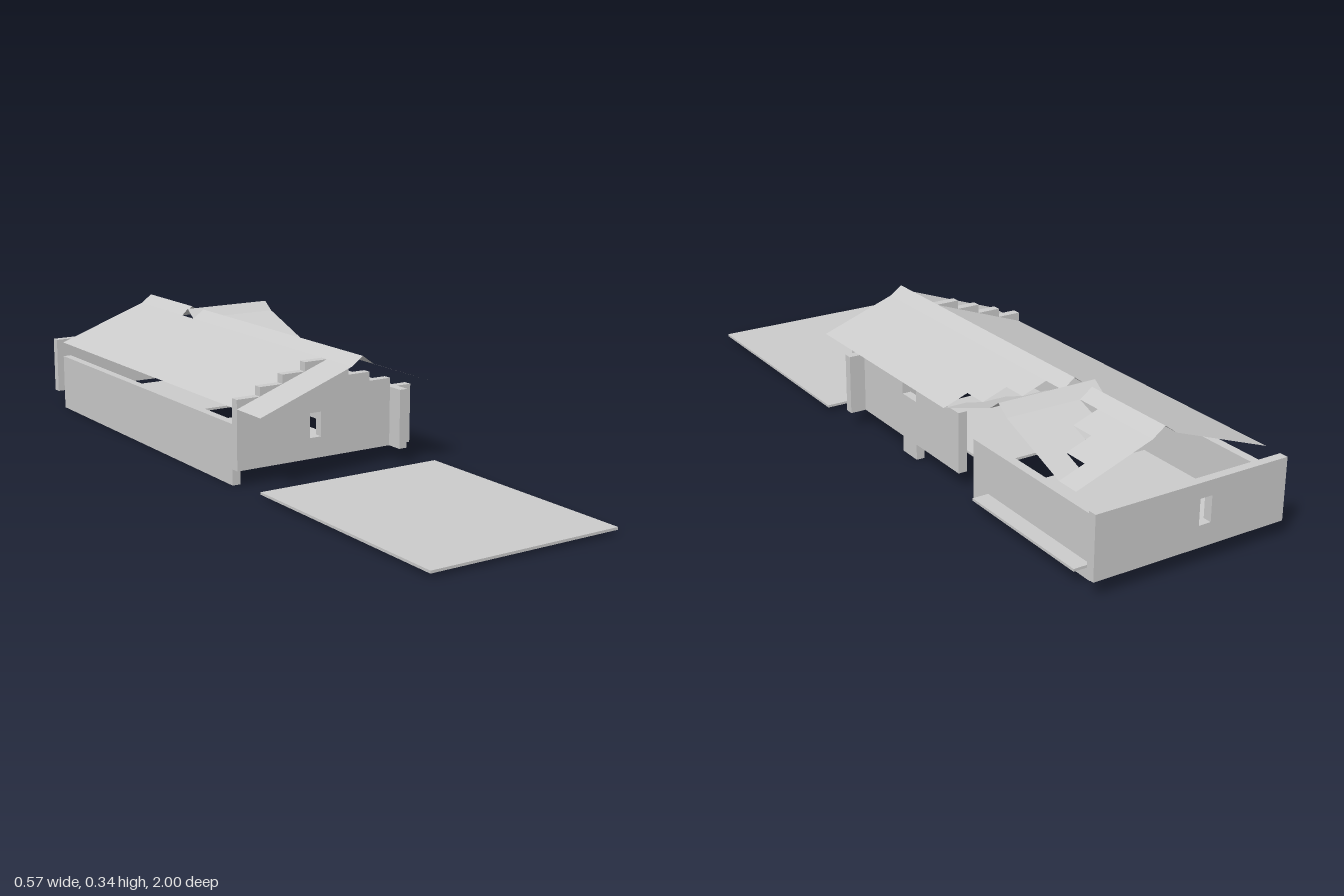
import * as THREE from 'three';

const U = 1 / 14;      // plan module
const H = 0.0257;      // roof rise per module
const EAVE = 0.215;    // wall top
const BASE = 0.045;    // underside of the raised walls
const T = 0.025;       // wall thickness
const HALF = 4 * U;
const BACK = -0.926;   // rear end of roof and side walls
const CROSS = -0.61;   // centre line of the cross gable

const solid = new THREE.MeshStandardMaterial({ color: 0xcccccc, flatShading: true });
const sheet = new THREE.MeshStandardMaterial({ color: 0xcccccc, flatShading: true, side: THREE.DoubleSide });

export function createModel() {
  const model = new THREE.Group();

  const add = (name, geometry, material = solid) => {
    const mesh = new THREE.Mesh(geometry, material);
    mesh.name = name;
    model.add(mesh);
    return mesh;
  };

  // Box given by its extents
  const box = (name, x0, x1, y0, y1, z0, z1) =>
    add(name, new THREE.BoxGeometry(x1 - x0, y1 - y0, z1 - z0))
      .position.set((x0 + x1) / 2, (y0 + y1) / 2, (z0 + z1) / 2);

  // Thin sheets from lists of four corners, counter-clockwise from above
  const sheets = (name, quads) => {
    const pos = quads.flatMap(([a, b, c, d]) => [a, b, c, a, c, d].flat());
    const g = new THREE.BufferGeometry();
    g.setAttribute('position', new THREE.Float32BufferAttribute(pos, 3));
    g.computeVertexNormals();
    add(name, g, sheet);
  };

  // Sheet running along z, with a profile edge from (xa, ya) to (xb, yb)
  const alongZ = (xa, ya, xb, yb, z0, z1) =>
    [[xa, ya, z1], [xb, yb, z1], [xb, yb, z0], [xa, ya, z0]];
  // Sheet running along x, with an edge from (za, ya) to (zb, yb)
  const alongX = (za, ya, zb, yb, x0, x1) =>
    [[x0, ya, za], [x0, yb, zb], [x1, yb, zb], [x1, ya, za]];

  // End wall with a window, from an outline
  const endWall = (name, outline, z) => {
    const shape = new THREE.Shape(outline.map(([x, y]) => new THREE.Vector2(x, y)));
    const w = [[-0.054, 0.104], [-0.054, 0.174], [-0.018, 0.174], [-0.018, 0.104]];
    shape.holes.push(new THREE.Path(w.map(([x, y]) => new THREE.Vector2(x, y))));
    const g = new THREE.ExtrudeGeometry(shape, { depth: T, bevelEnabled: false });
    add(name, g).position.z = z;
  };

  // Ground slab in front of the building
  box('groundSlab', -HALF, HALF, 0.011, 0.018, HALF, 1);

  // Stepped front gable: rises over four modules, then falls over four
  const outline = [[-HALF, BASE], [HALF, BASE]];
  const tops = [1, 2, 3, 4, 3, 2, 1, 0];
  for (let i = 7; i >= 0; i--) {
    const y = EAVE + tops[i] * H;
    outline.push([-HALF + (i + 1) * U, y], [-HALF + i * U, y]);
  }
  endWall('frontGableWall', outline, 0.143);
  endWall('backWall', [[-HALF, BASE], [HALF, BASE], [HALF, EAVE], [-HALF, EAVE]], -1);

  // Side walls
  const drop = EAVE - BASE;
  box('leftWall', -HALF, -HALF + T, 0, drop, BACK, 0.143);
  const rx = 3 * U;
  box('rightWallFront', rx, rx + T, BASE, EAVE, -U, 0.216);
  box('rightWallLowPanel', rx, rx + T, 0, drop, -2 * U, -U);
  box('rightWallMiddle', rx, rx + T, BASE, EAVE, -5 * U, -2 * U);
  box('rightWallRear', rx, rx + T, 0, drop, BACK, -6 * U);

  // Floor plates
  box('frontFloor', -HALF, 2 * U, 0.038, 0.045, -5 * U, U);
  box('rearFloor', -HALF, HALF, 0.038, 0.045, BACK, BACK + 6 * U);

  // Main roof: left slope, steeper ridge cap, right slope opened for the cross gable
  const capY = EAVE + 4 * H, ridgeY = EAVE + 5 * H;
  sheets('leftRoof', [alongZ(-HALF, EAVE, 0, capY, BACK, HALF)]);
  const cap = [], right = [];
  for (let k = 0; k < 4; k++) {
    const reach = (k + 0.5) * U;
    for (const [z0, z1] of [[BACK, CROSS - reach], [CROSS + reach, HALF]]) {
      if (k === 0) {
        cap.push(alongZ(0, capY, U / 2, ridgeY, z0, z1), alongZ(U / 2, ridgeY, U, capY, z0, z1));
      } else {
        right.push(alongZ(k * U, capY - (k - 1) * H, (k + 1) * U, capY - k * H, z0, z1));
      }
    }
  }
  sheets('ridgeCap', cap);
  sheets('rightRoof', right);

  // Cross gable: strips step back toward the eave on both sides of its own ridge cap
  const gable = [];
  for (const s of [-1, 1]) {
    gable.push(alongX(CROSS, ridgeY, CROSS + s * U / 2, capY, 0, HALF));
    for (let k = 1; k < 4; k++) {
      const z = CROSS + s * (k - 0.5) * U;
      gable.push(alongX(z, capY - (k - 1) * H, z + s * U, capY - k * H, k * U, HALF));
    }
  }
  sheets('crossGableRoof', gable);

  return model;
}
